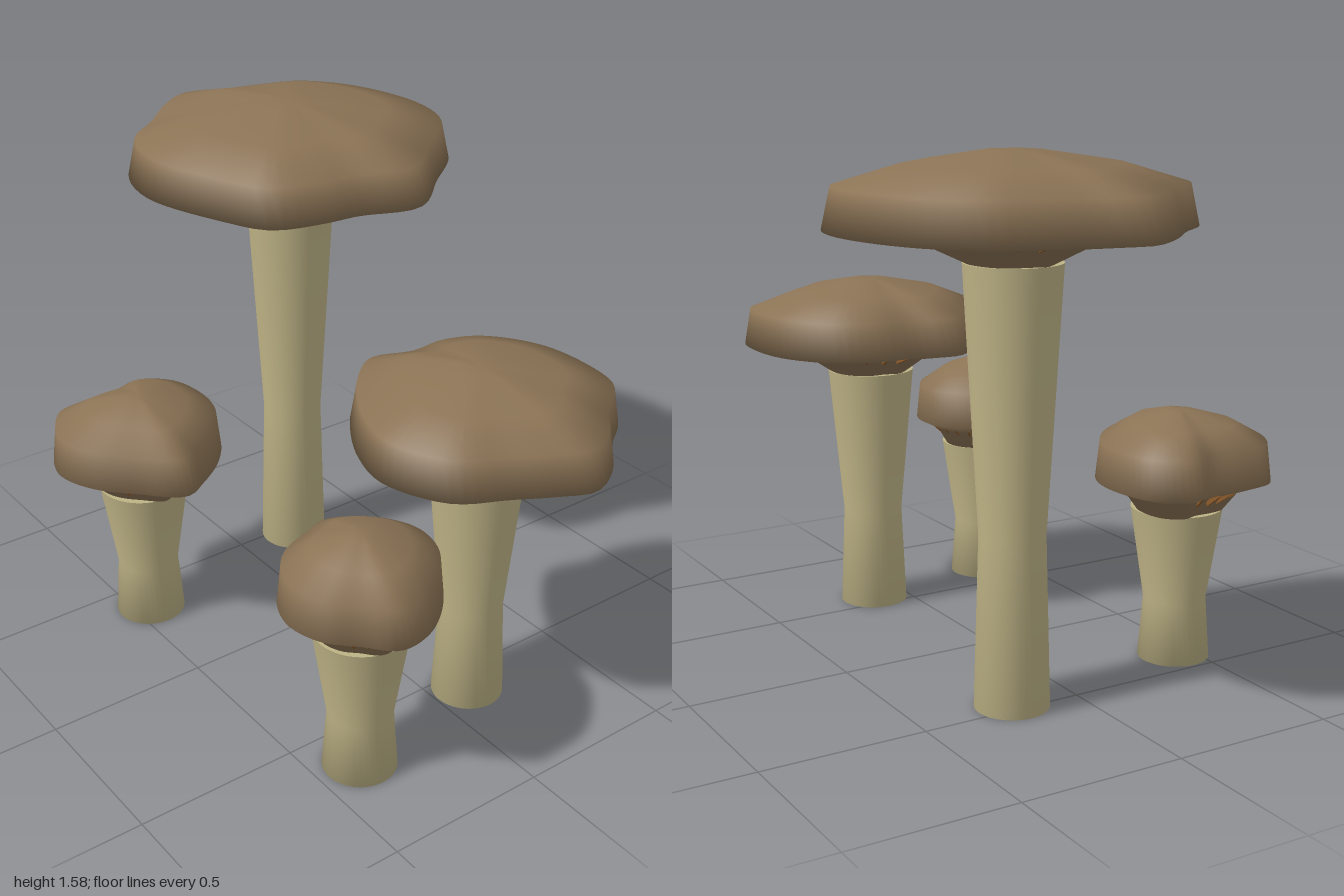
import * as THREE from 'three';
import { mergeVertices } from 'three/addons/utils/BufferGeometryUtils.js';

const capMat = new THREE.MeshStandardMaterial({ color: 0x8b7355 });
capMat.name = 'capBrown';
const stemMat = new THREE.MeshStandardMaterial({ color: 0xbdb285 });
stemMat.name = 'stemCream';
const gillMat = new THREE.MeshStandardMaterial({ color: 0x8b5a2b });
gillMat.name = 'gillTan';

const SEG = 72;
const BASE_R = 0.13; // radius where the cap meets the stem

// Each cap outline holds x, z pairs (hundredths) around the stem, front -> left (+x) -> back
const mushrooms = [
  { name: 'tallMushroom', x: -0.465, z: -0.2, h: 1.28, r: 0.51, outline: [
    -1, 51.5, 27, 44, 42, 36, 47, 20, 48, 9.5, 53.5, -9, 39, -28, 23, -46, 3, -51.5,
    -25, -45.5, -41, -33, -45.5, -20, -49, -6, -53.5, 6.5, -46.5, 19, -33, 33, -22.5, 45.5] },
  { name: 'mediumMushroom', x: 0.57, z: -0.117, h: 0.8, r: 0.39, outline: [
    5, 39, 24, 31, 32, 17, 38.5, 5.5, 42.5, -4, 37.5, -15, 27, -25.5, 17.5, -37, 1, -40,
    -16, -37.5, -31, -27, -36, -15, -35.5, -3, -39.5, 10, -33, 20, -22, 29, -9, 36] },
  { name: 'smallLeftMushroom', x: 0.65, z: 0.36, h: 0.48, r: 0.235, outline: [
    -1, 23.5, 10, 20.5, 17, 14, 25, 6, 24, -4, 17, -14.5, 6.5, -22.5, -5.5, -24,
    -17, -17.5, -24.5, -5, -22, 4, -18, 14, -11, 20.5] },
  { name: 'smallRightMushroom', x: -0.38, z: 0.44, h: 0.48, r: 0.26, outline: [
    -3, 27, 9, 23, 20, 13.5, 30, 2, 26, -6.5, 18, -17, 6.5, -25, -6.5, -27,
    -19, -24, -26.5, -14.5, -24, -4, -24, 7, -22, 17.5, -12.5, 24.5] },
];

// Lathe rings stretched to follow the wavy outline
function capGeometry({ r, outline }) {
  const pts = [];
  for (let i = 0; i < outline.length; i += 2)
    pts.push(new THREE.Vector3(outline[i] / 100, 0, outline[i + 1] / 100));
  const curve = new THREE.CatmullRomCurve3(pts, true);
  const ring = curve.getSpacedPoints(SEG);
  const f0 = BASE_R / r;
  const profile = [[0, 0], [f0, 0], [f0 + (1 - f0) * 0.33, 0.06], [1, 0.095],
    [0.95, 0.212], [0.6, 0.266], [0.18, 0.3], [0, 0.3]].map(p => new THREE.Vector2(...p));
  let geo = new THREE.LatheGeometry(profile, SEG);
  const pos = geo.attributes.position;
  for (let j = 0; j <= SEG; j++) {
    const edge = ring[j % SEG];
    profile.forEach((p, i) => pos.setXYZ(j * profile.length + i, p.x * edge.x, p.y, p.x * edge.z));
  }
  geo.deleteAttribute('uv');
  geo.deleteAttribute('normal');
  geo = mergeVertices(geo, 1e-5);
  geo.computeVertexNormals();
  return geo;
}

// Waisted stem, widest under the cap
function stemGeometry(h) {
  const profile = [[0, 0], [0.11, 0], [0.096, h * 0.4], [0.14, h]].map(p => new THREE.Vector2(...p));
  return new THREE.LatheGeometry(profile, 40);
}

function makeMushroom(m) {
  const group = new THREE.Group();
  group.name = m.name;
  group.position.set(m.x, 0, m.z);

  const stem = new THREE.Mesh(stemGeometry(m.h), stemMat);
  stem.name = 'stem';
  const stemTop = new THREE.Mesh(new THREE.CircleGeometry(0.14, 40), stemMat);
  stemTop.name = 'stemTop';
  stemTop.rotation.x = -Math.PI / 2;
  stemTop.position.y = m.h;

  const cap = new THREE.Mesh(capGeometry(m), capMat);
  cap.name = 'cap';
  cap.position.y = m.h;

  // Thin radial gills, partly sunk into the underside
  const gills = new THREE.Group();
  gills.name = 'gills';
  gills.position.y = m.h;
  const bar = new THREE.BoxGeometry(0.008, 0.014, 0.065);
  const tilt = Math.atan2(0.095, m.r - BASE_R);
  const radius = BASE_R + (m.r - BASE_R) * 0.35;
  for (let i = 0; i < 24; i++) {
    const a = (i / 24) * Math.PI * 2;
    const gill = new THREE.Mesh(bar, gillMat);
    gill.name = 'gill';
    gill.position.set(Math.sin(a) * radius, 0.06 + 0.03 * (m.r - 0.235), Math.cos(a) * radius);
    gill.rotation.set(-tilt, a, 0, 'YXZ');
    gills.add(gill);
  }

  group.add(stem, stemTop, cap, gills);
  return group;
}

export function createModel() {
  const model = new THREE.Group();
  model.name = 'mushroomCluster';
  mushrooms.forEach(m => model.add(makeMushroom(m)));
  return model;
}
